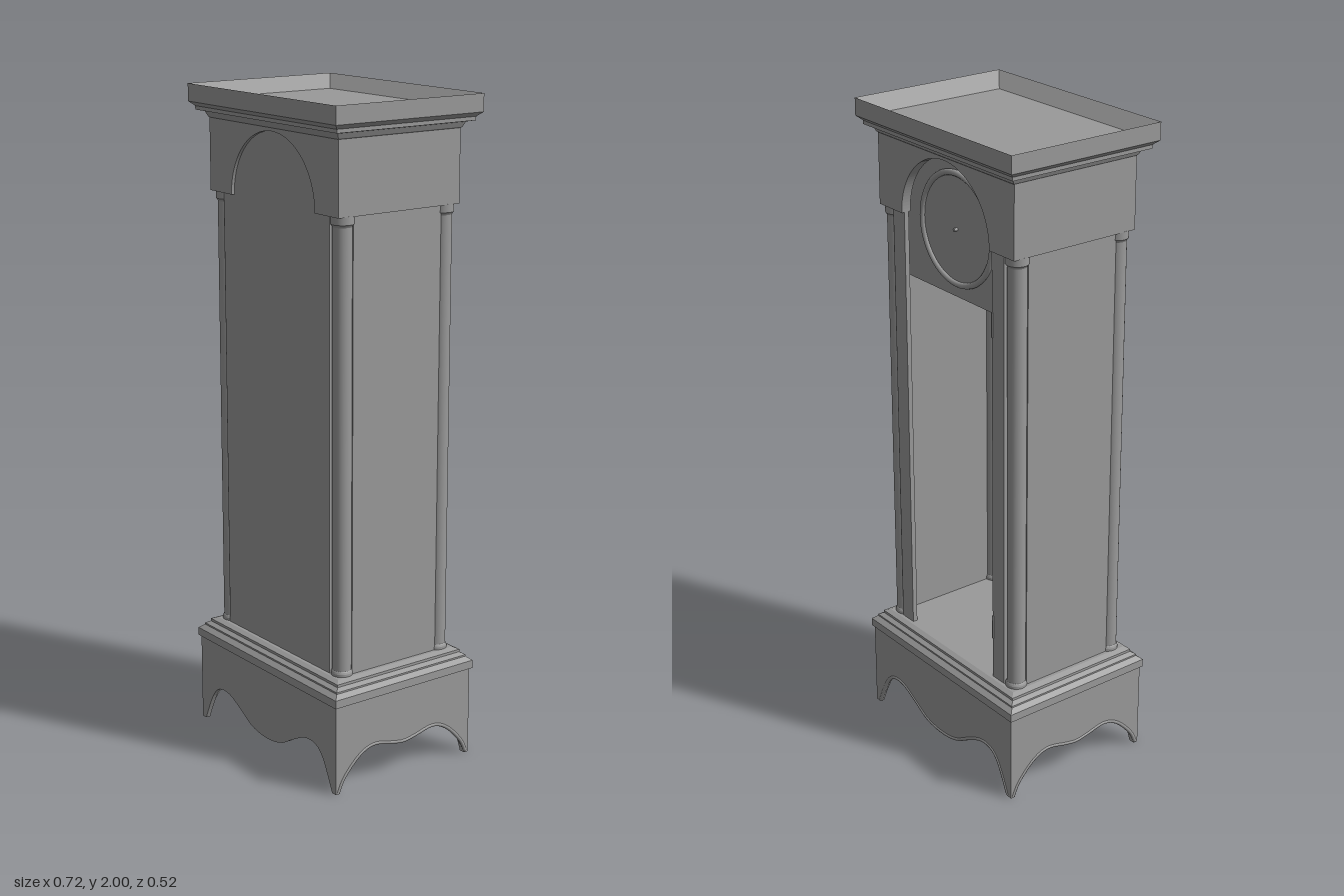
import * as THREE from 'three';

const material = new THREE.MeshStandardMaterial({ color: 0x9a9a9a, side: THREE.DoubleSide });

export function createModel() {
  const clock = new THREE.Group();
  clock.name = 'longcaseClock';

  const add = (name, geometry, x = 0, y = 0, z = 0) => {
    const mesh = new THREE.Mesh(geometry, material);
    mesh.name = name;
    mesh.position.set(x, y, z);
    clock.add(mesh);
    return mesh;
  };

  // Box given by its minimum and maximum corners
  const box = (name, x0, x1, y0, y1, z0, z1) =>
    add(name, new THREE.BoxGeometry(x1 - x0, y1 - y0, z1 - z0), (x0 + x1) / 2, (y0 + y1) / 2, (z0 + z1) / 2);

  const extrude = (shape, depth) =>
    new THREE.ExtrudeGeometry(shape, { depth, bevelEnabled: false, curveSegments: 32 });

  // Closed stack of rectangles [halfX, halfZ, y], from bottom to top
  const moulding = (name, rings) => {
    const pos = [];
    const corners = rings.map(([x, z, y]) => [[x, y, z], [x, y, -z], [-x, y, -z], [-x, y, z]]);
    const quad = (a, b, c, d) => pos.push(...a, ...b, ...c, ...a, ...c, ...d);
    for (let i = 0; i + 1 < corners.length; i++)
      for (let j = 0; j < 4; j++) {
        const k = (j + 1) % 4;
        quad(corners[i][j], corners[i][k], corners[i + 1][k], corners[i + 1][j]);
      }
    const low = corners[0], high = corners[corners.length - 1];
    quad(low[3], low[2], low[1], low[0]);
    quad(high[0], high[1], high[2], high[3]);
    const g = new THREE.BufferGeometry();
    g.setAttribute('position', new THREE.Float32BufferAttribute(pos, 3));
    g.computeVertexNormals();
    return add(name, g);
  };

  // Cornice with a shallow sunken top
  moulding('cornice', [
    [0.312, 0.212, 1.9], [0.318, 0.218, 1.905], [0.325, 0.225, 1.92], [0.346, 0.244, 1.924],
    [0.346, 0.244, 1.935], [0.361, 0.259, 1.948], [0.361, 0.259, 2], [0.305, 0.217, 1.96],
  ]);

  // Stepped moulding on top of the plinth
  moulding('plinthMoulding', [
    [0.35, 0.25, 0.275], [0.361, 0.258, 0.275], [0.361, 0.258, 0.3], [0.346, 0.243, 0.312],
    [0.346, 0.243, 0.317], [0.332, 0.23, 0.325], [0.332, 0.23, 0.333], [0.315, 0.215, 0.34],
  ]);

  // Scalloped aprons; each half profile runs from foot to centre
  const frontCurve = [[0.335, 0], [0.315, 0.045], [0.285, 0.1], [0.25, 0.126], [0.2, 0.126], [0.14, 0.098], [0.075, 0.063], [0, 0.052]];
  const sideCurve = [[0.243, 0], [0.22, 0.045], [0.165, 0.1], [0.11, 0.12], [0.04, 0.106], [0, 0.1]];
  const apron = (name, half, curve, angle, distance, lip) => {
    const all = [...curve, ...curve.slice(0, -1).reverse().map(([x, y]) => [-x, y])];
    const points = new THREE.SplineCurve(all.map(p => new THREE.Vector2(...p))).getPoints(48);
    const shape = new THREE.Shape([...points, new THREE.Vector2(-half, 0), new THREE.Vector2(-half, 0.28), new THREE.Vector2(half, 0.28), new THREE.Vector2(half, 0)]);
    const turn = mesh => {
      mesh.rotation.y = angle;
      mesh.position.set(Math.sin(angle) * distance, 0, Math.cos(angle) * distance);
    };
    turn(add(name, extrude(shape, 0.015).translate(0, 0, -0.015)));
    if (lip) {
      const path = new THREE.CatmullRomCurve3(points.map(p => new THREE.Vector3(p.x, p.y + 0.004, -0.003)));
      turn(add(name + 'Bead', new THREE.TubeGeometry(path, 64, 0.006, 8)));
    }
  };
  apron('frontApron', 0.354, frontCurve, 0, 0.252, false);
  apron('backApron', 0.354, frontCurve, Math.PI, 0.252, true);
  apron('leftApron', 0.252, sideCurve, Math.PI / 2, 0.354, true);
  apron('rightApron', 0.252, sideCurve, -Math.PI / 2, 0.354, true);

  // Hood fascias with an arched cut-out, front and back
  const fascia = new THREE.Shape();
  fascia.moveTo(0.315, 1.688);
  fascia.lineTo(0.315, 1.905);
  fascia.lineTo(-0.315, 1.905);
  fascia.lineTo(-0.315, 1.688);
  fascia.lineTo(-0.205, 1.688);
  fascia.absarc(0, 1.688, 0.205, Math.PI, 0, true);
  add('frontFascia', extrude(fascia, 0.02), 0, 0, 0.195);
  add('backFascia', extrude(fascia, 0.03), 0, 0, -0.214);

  // Arched front panel, set slightly behind the hood
  const panel = new THREE.Shape();
  panel.moveTo(-0.26, 0.335);
  panel.lineTo(0.26, 0.335);
  panel.lineTo(0.26, 1.69);
  panel.lineTo(0.207, 1.69);
  panel.absarc(0, 1.69, 0.207, 0, Math.PI, false);
  panel.lineTo(-0.26, 1.69);
  add('frontPanel', extrude(panel, 0.016), 0, 0, 0.189);

  // Corner columns: separate rings for each profile edge keep the edges crisp
  const column = [
    [0, 0], [0.032, 0], [0.032, 0.008], [0.03, 0.013], [0.028, 0.016], [0.028, 1.318],
    [0.03, 1.322], [0.033, 1.326], [0.033, 1.35], [0, 1.35],
  ].map(p => new THREE.Vector2(...p));
  const columnPart = (x, z) => {
    for (let i = 0; i + 1 < column.length; i++)
      add('column', new THREE.LatheGeometry([column[i], column[i + 1]], 24), x, 0.34, z);
  };

  // Side walls, stiles and columns
  for (const s of [-1, 1]) {
    const side = s > 0 ? 'left' : 'right';
    const span = (a, b) => (s > 0 ? [a, b] : [-b, -a]);
    box(side + 'Wall', ...span(0.285, 0.304), 0.335, 1.69, -0.156, 0.156);
    box(side + 'HoodSide', ...span(0.29, 0.315), 1.688, 1.905, -0.212, 0.212);
    box(side + 'Stile', ...span(0.205, 0.26), 0.335, 1.69, -0.205, -0.19);
    for (const z of [-0.178, 0.178]) columnPart(s * 0.283, z);
  }

  // Door hinges on one stile
  for (const y of [0.51, 1.47])
    add('hinge', new THREE.CylinderGeometry(0.004, 0.004, 0.075, 12), -0.207, y, -0.204);

  // Movement shelf with an open well
  const shelf = new THREE.Shape();
  const rect = (path, x, z0, z1) => {
    path.moveTo(-x, z0);
    path.lineTo(x, z0);
    path.lineTo(x, z1);
    path.lineTo(-x, z1);
    path.closePath();
    return path;
  };
  rect(shelf, 0.286, -0.15, 0.19);
  shelf.holes.push(rect(new THREE.Path(), 0.162, -0.14, 0.118));
  add('movementShelf', extrude(shelf, 0.25).rotateX(Math.PI / 2), 0, 1.73, 0);

  // Dial board, dial, rim and centre pin on the back
  box('dialBoard', -0.286, 0.286, 1.48, 1.9, -0.165, -0.15);
  add('dial', new THREE.CylinderGeometry(0.163, 0.163, 0.006, 64).rotateX(Math.PI / 2), 0, 1.685, -0.167);
  add('dialRim', new THREE.TorusGeometry(0.163, 0.009, 12, 64), 0, 1.685, -0.17);
  add('centrePin', new THREE.CylinderGeometry(0.005, 0.005, 0.014, 12).rotateX(Math.PI / 2), 0, 1.685, -0.174);

  return clock;
}
